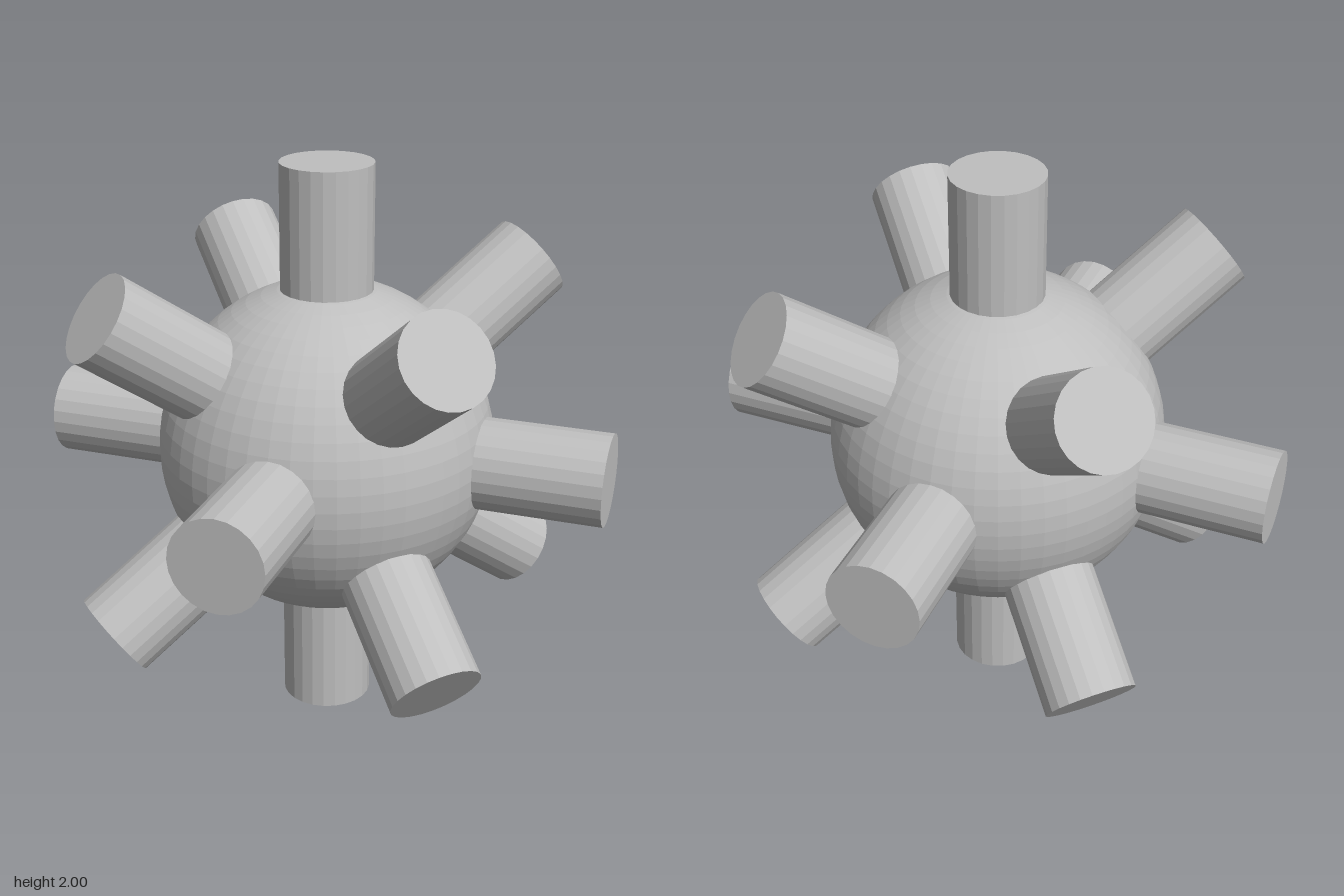
import * as THREE from 'three';

const CORE_RADIUS = 0.588;
const ROD_RADIUS = 0.16;
const ROD_START = 0.5; // buried inside the core
const ROD_END = 1;

export function createModel() {
  const model = new THREE.Group();
  model.name = 'spikedBall';

  const grey = new THREE.MeshStandardMaterial({ color: 0xbfbfbf, flatShading: true });
  grey.name = 'plain grey';

  // Everything radiates from the centre, one unit above the ground
  const hub = new THREE.Group();
  hub.name = 'hub';
  hub.position.y = 1;
  model.add(hub);

  // Faceted round core
  const core = new THREE.Mesh(new THREE.SphereGeometry(CORE_RADIUS, 48, 32), grey);
  core.name = 'core';
  hub.add(core);

  // One rod shape, lying along +y from inside the core to its tip
  const rodGeometry = new THREE.CylinderGeometry(ROD_RADIUS, ROD_RADIUS, ROD_END - ROD_START, 24);
  rodGeometry.translate(0, (ROD_START + ROD_END) / 2, 0);
  const up = new THREE.Vector3(0, 1, 0);

  function addRod(name, x, y, z) {
    const rod = new THREE.Mesh(rodGeometry, grey);
    rod.name = name;
    rod.quaternion.setFromUnitVectors(up, new THREE.Vector3(x, y, z).normalize());
    hub.add(rod);
  }

  // Six rods along the axes
  for (const s of [1, -1]) {
    addRod(s > 0 ? 'leftRod' : 'rightRod', s, 0, 0);
    addRod(s > 0 ? 'topRod' : 'bottomRod', 0, s, 0);
    addRod(s > 0 ? 'frontRod' : 'backRod', 0, 0, s);
  }

  // Eight rods towards the corners of a cube
  for (const x of [1, -1])
    for (const y of [1, -1])
      for (const z of [1, -1])
        addRod(`${y > 0 ? 'upper' : 'lower'}${z > 0 ? 'Front' : 'Back'}${x > 0 ? 'Left' : 'Right'}Rod`, x, y, z);

  return model;
}
